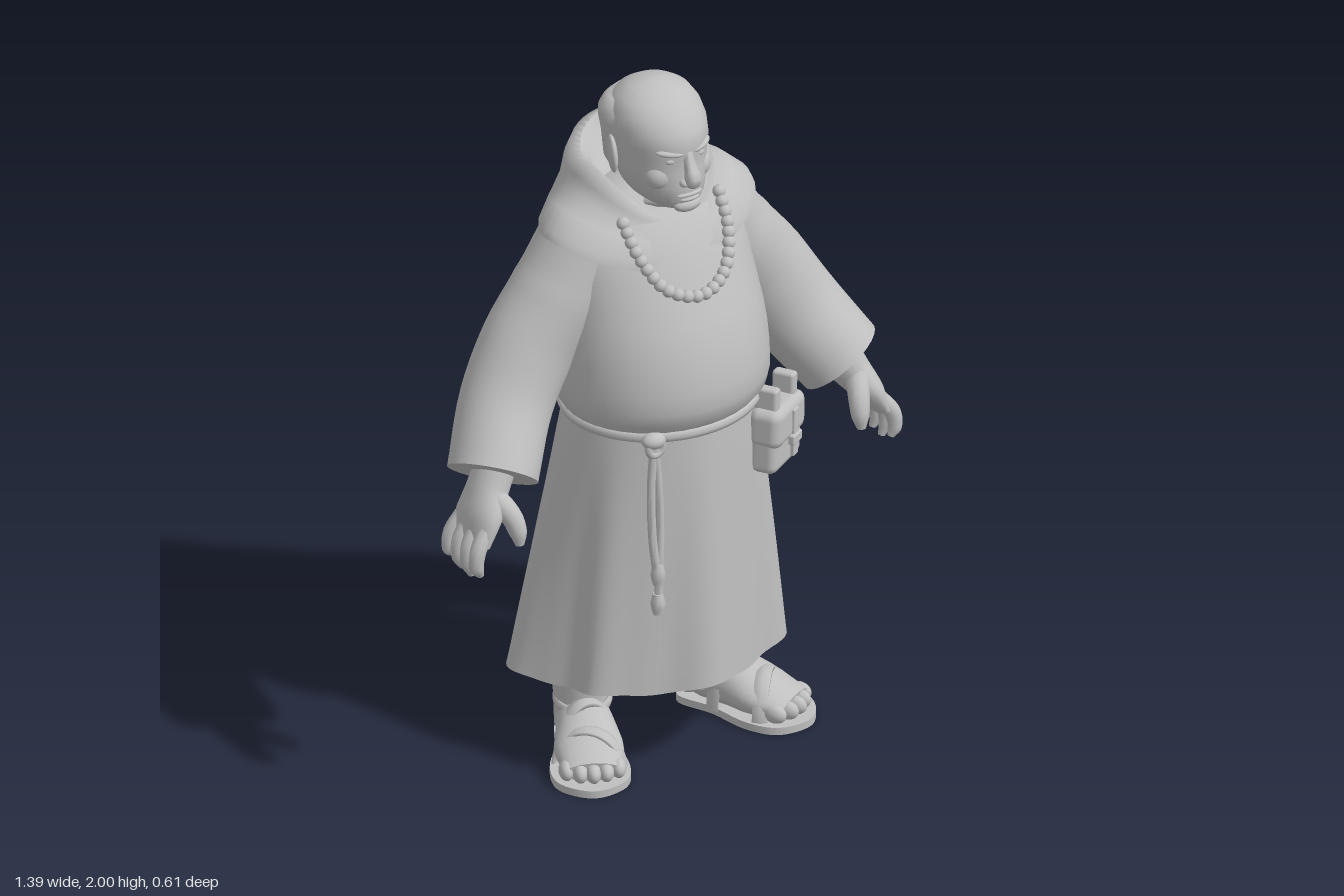
import * as THREE from 'three';
import { toCreasedNormals, mergeVertices } from 'three/addons/utils/BufferGeometryUtils.js';
import { RoundedBoxGeometry } from 'three/addons/geometries/RoundedBoxGeometry.js';

const V = (x, y, z) => new THREE.Vector3(x, y, z);
const grey = new THREE.MeshStandardMaterial({ color: 0xbfbfbf });
grey.name = 'clay grey';

// Skin a list of closed rings (each an array of points) and cap both ends
function loft(rings, crease = 0.9) {
  const n = rings[0].length, pos = [], idx = [];
  const centre = r => r.reduce((a, p) => a.add(p), V(0, 0, 0)).divideScalar(n);
  rings.forEach(r => r.forEach(p => pos.push(p.x, p.y, p.z)));
  for (let i = 0; i < rings.length - 1; i++) for (let j = 0; j < n; j++) {
    const a = i * n + j, b = i * n + (j + 1) % n;
    idx.push(a, b, b + n, a, b + n, a + n);
  }
  const last = rings.length - 1, c = rings.length * n;
  pos.push(...centre(rings[0]).toArray(), ...centre(rings[last]).toArray());
  for (let j = 0; j < n; j++) {
    const k = (j + 1) % n;
    idx.push(c, k, j, c + 1, last * n + j, last * n + k);
  }
  const g = new THREE.BufferGeometry();
  g.setAttribute('position', new THREE.Float32BufferAttribute(pos, 3));
  g.setIndex(idx);
  return toCreasedNormals(mergeVertices(g), crease);
}

// Ring of n points, each from f(angle); angle 0 is the front, PI/2 the left
const ring = (n, f) => Array.from({ length: n }, (_, j) => f(j / n * Math.PI * 2));

// Level ellipses from rows of [y, half width, front z, back z]
const stack = (rows, n = 40) => loft(rows.map(([y, rx, zf, zb]) =>
  ring(n, a => V(rx * Math.sin(a), y, (zf + zb) / 2 + (zf - zb) / 2 * Math.cos(a)))));

// Tapered limb along a curve; radii are [across, along ref]
function limb(points, radii, { n = 16, steps = 14, ref = V(0, 0, 1), crease = 0.9 } = {}) {
  const curve = new THREE.CatmullRomCurve3(points.map(p => V(...p)));
  const rings = [];
  for (let i = 0; i <= steps; i++) {
    const t = i / steps, f = t * (radii.length - 1), k = Math.min(Math.floor(f), radii.length - 2);
    const mix = q => THREE.MathUtils.lerp(radii[k][q], radii[k + 1][q], f - k);
    const c = curve.getPoint(t), T = curve.getTangent(t);
    const A = T.clone().cross(ref).normalize(), B = A.clone().cross(T);
    rings.push(ring(n, a => c.clone().addScaledVector(A, mix(0) * Math.sin(a)).addScaledVector(B, mix(1) * Math.cos(a))));
  }
  return loft(rings, crease);
}
const round = (...rs) => rs.map(r => [r, r]);

export function createModel() {
  const model = new THREE.Group();
  const add = (name, geo, pos = [0, 0, 0], scale = [1, 1, 1], parent = model) => {
    const m = new THREE.Mesh(geo, grey);
    m.name = name;
    m.position.set(...pos);
    m.scale.set(...scale);
    parent.add(m);
    return m;
  };
  const ball = new THREE.SphereGeometry(1, 20, 14);

  // Skirt with seven soft folds that grow toward the hem, fuller behind than in front
  const skirt = [];
  for (let i = 0; i <= 14; i++) {
    const t = 1 - i / 14, s = Math.pow(t, 0.85);
    skirt.push(ring(112, a => {
      const fold = Math.cos(7 * a), back = (1 - Math.cos(a)) / 2, diagonal = 2 * Math.cos(a) * Math.sin(a) ** 2;
      const k = 1 + s * ((0.045 + 0.03 * back) * fold + 0.012 * Math.cos(14 * a + 1) - 0.085 * diagonal);
      return V((0.265 + 0.125 * s) * k * Math.sin(a), 1.05 - 0.78 * t + (t === 1 ? 0.006 * fold : 0),
        0.022 * (1 - s) + (0.232 + (0.06 + 0.01 * back) * s) * k * Math.cos(a));
    }));
  }
  const hem = skirt[0].map(p => V(p.x * 0.97, 0.3, p.z * 0.97));
  add('skirt', loft([hem, ...skirt]));

  // Belly and chest
  add('torso', stack([
    [1.03, 0.262, 0.25, -0.205], [1.06, 0.277, 0.268, -0.22], [1.09, 0.295, 0.292, -0.24],
    [1.13, 0.302, 0.302, -0.25], [1.18, 0.302, 0.298, -0.25], [1.24, 0.3, 0.286, -0.245],
    [1.3, 0.295, 0.268, -0.238], [1.36, 0.288, 0.243, -0.23], [1.42, 0.282, 0.212, -0.222],
    [1.48, 0.28, 0.183, -0.22], [1.55, 0.27, 0.15, -0.22], [1.62, 0.23, 0.1, -0.2], [1.68, 0.12, 0.04, -0.13]]));

  // Cowl: rows of [half width, front z, back z, front y, side y, back y]
  const cowl = [
    [0.27, 0.11, -0.19, 1.515, 1.575, 1.51], [0.324, 0.16, -0.235, 1.5, 1.592, 1.485],
    [0.316, 0.156, -0.252, 1.53, 1.615, 1.515], [0.265, 0.128, -0.266, 1.57, 1.66, 1.58],
    [0.216, 0.108, -0.275, 1.592, 1.69, 1.66], [0.203, 0.102, -0.27, 1.608, 1.73, 1.74],
    [0.19, 0.095, -0.25, 1.622, 1.765, 1.795], [0.17, 0.085, -0.215, 1.625, 1.77, 1.812],
    [0.15, 0.07, -0.185, 1.615, 1.745, 1.79], [0.12, 0.04, -0.13, 1.59, 1.66, 1.66]];
  add('cowl', loft(cowl.map(([rx, zf, zb, yf, ys, yb]) => ring(48, a => {
    const c = Math.cos(a), y = ys + ((c > 0 ? yf : yb) - ys) * c * c;
    return V(rx * Math.sin(a), y, (zf + zb) / 2 + (zf - zb) / 2 * c);
  })), 1.1));

  // Head
  add('head', stack([
    [1.58, 0.095, 0.05, -0.11], [1.655, 0.085, 0.08, -0.11], [1.672, 0.062, 0.145, -0.11],
    [1.69, 0.08, 0.168, -0.112], [1.715, 0.098, 0.174, -0.115], [1.75, 0.112, 0.17, -0.12],
    [1.79, 0.12, 0.166, -0.126], [1.83, 0.121, 0.16, -0.132], [1.86, 0.126, 0.167, -0.138],
    [1.9, 0.128, 0.153, -0.141], [1.935, 0.12, 0.128, -0.131], [1.965, 0.1, 0.092, -0.108],
    [1.987, 0.066, 0.05, -0.073], [1.997, 0.03, 0.014, -0.035], [2, 0.008, -0.005, -0.015]]));
  // Fringe of hair around the sides and back
  const fringe = [[1.745, 0.108, 0.02], [1.77, 0.12, 0.03], [1.84, 0.128, 0.05], [1.89, 0.136, 0.055], [1.915, 0.135, 0.05], [1.935, 0.124, 0.035], [1.95, 0.108, 0.015]];
  add('hairFringe', stack(fringe.map(([y, rx, zf]) => [y, rx, zf, -0.014 - rx])));
  add('nose', limb([[0, 1.85, 0.152], [0, 1.81, 0.168], [0, 1.775, 0.182], [0, 1.755, 0.17]], round(0.014, 0.017, 0.025, 0.014), { steps: 8 }));
  add('mouth', ball, [0, 1.727, 0.163], [0.04, 0.007, 0.015]);
  add('lowerLip', ball, [0, 1.713, 0.162], [0.033, 0.008, 0.016]);
  add('chin', ball, [0, 1.69, 0.152], [0.042, 0.022, 0.026]);
  for (const s of [-1, 1]) {
    add('brow', ball, [s * 0.046, 1.853, 0.141], [0.042, 0.011, 0.02]).rotation.set(0, s * 0.35, s * 0.15);
    add('eye', ball, [s * 0.043, 1.828, 0.142], [0.018, 0.01, 0.01]);
    add('cheek', ball, [s * 0.05, 1.775, 0.105], [0.052, 0.045, 0.044]);
    add('nostril', ball, [s * 0.02, 1.765, 0.168], [0.013, 0.012, 0.014]);
    add('ear', ball, [s * 0.128, 1.805, -0.015], [0.013, 0.055, 0.032]).rotation.set(-0.15, s * 0.35, 0);
  }

  // Bead necklace
  const cord = new THREE.CatmullRomCurve3([-1, -0.93, -0.6, 0, 0.6, 0.93, 1].map((x, i) => {
    const k = Math.abs(i - 3);
    return V(x * 0.155, [1.438, 1.47, 1.56, 1.64][k], [0.222, 0.194, 0.136, 0.076][k]);
  }));
  const beads = new THREE.Group();
  beads.name = 'necklace';
  model.add(beads);
  cord.getSpacedPoints(23).forEach(p => add('bead', ball, p.toArray(), [0.018, 0.018, 0.018], beads));

  // Rope belt, knot and hanging ends
  const waist = new THREE.CatmullRomCurve3(ring(24, a => V(0.268 * Math.sin(a), 1.05, 0.022 + 0.24 * Math.cos(a))), true);
  add('ropeBelt', new THREE.TubeGeometry(waist, 72, 0.018, 8, true));
  add('ropeKnot', ball, [-0.16, 1.045, 0.23], [0.036, 0.024, 0.028]);
  add('ropeLoop', new THREE.TorusGeometry(0.022, 0.011, 8, 16), [-0.16, 1.025, 0.238]);
  [[-0.172, 0.62, 0.012], [-0.148, 0.53, 0.012]].forEach(([x, y, r]) => {
    add('ropeEnd', limb([[-0.16, 1.04, 0.232], [x, 0.9, 0.235], [x, 0.75, 0.242], [-0.16, y, 0.25]], round(r, r, r, r), { n: 10 }));
    add('ropeTassel', limb([[-0.16, y + 0.05, 0.249], [-0.16, y + 0.02, 0.25], [-0.16, y - 0.01, 0.252]], round(0.014, 0.021, 0.015), { n: 10, steps: 4 }));
  });

  // Belt pouch
  const pouch = new THREE.Group();
  pouch.name = 'pouch';
  pouch.position.set(0.26, 0.92, 0.19);
  pouch.rotation.set(0, 0.55, -0.05);
  model.add(pouch);
  const box = (name, w, h, d, x, y, z) => add(name, new RoundedBoxGeometry(w, h, d, 2, Math.min(w, h, d) * 0.3), [x, y, z], [1, 1, 1], pouch);
  box('pouchBody', 0.18, 0.18, 0.08, 0, -0.005, 0);
  box('pouchFlap', 0.19, 0.115, 0.095, 0, 0.04, 0.004);
  box('pouchStrap', 0.03, 0.14, 0.012, 0.01, 0.005, 0.052);
  box('pouchBuckle', 0.055, 0.03, 0.02, 0.01, -0.012, 0.054);
  for (const s of [-1, 1]) box('beltLoop', 0.034, 0.075, 0.065, s * 0.055, 0.118, 0);

  for (const s of [-1, 1]) {
    // Wide sleeve
    add('sleeve', limb([[s * 0.21, 1.535, -0.055], [s * 0.275, 1.41, -0.055], [s * 0.37, 1.28, -0.055], [s * 0.46, 1.14, -0.03], [s * 0.56, 0.985, 0.052]],
      [[0.11, 0.125], [0.132, 0.13], [0.137, 0.122], [0.132, 0.122], [0.124, 0.125]], { n: 28, steps: 20 }));
    // Hand
    add('palm', limb([[s * 0.55, 1.01, 0.05], [s * 0.583, 0.95, 0.06], [s * 0.62, 0.89, 0.075], [s * 0.65, 0.83, 0.078]],
      [[0.058, 0.058], [0.054, 0.064], [0.043, 0.085], [0.024, 0.084]], { n: 20 }));
    for (let k = 0; k < 4; k++) {
      const z = 0.143 - 0.043 * k, tip = [0.75, 0.733, 0.738, 0.76][k];
      add('finger', limb([[s * 0.635, 0.87, 0.13 - 0.037 * k], [s * 0.668, 0.825, z], [s * 0.676, 0.78, z + 0.003], [s * 0.662, tip, z + 0.003]],
        round(0.024, 0.023, 0.022, 0.02, 0.01), { n: 10, steps: 12 }));
    }
    add('thumb', limb([[s * 0.585, 0.94, 0.1], [s * 0.562, 0.9, 0.143], [s * 0.553, 0.855, 0.163], [s * 0.552, 0.82, 0.17]],
      round(0.034, 0.03, 0.025, 0.012), { n: 12, steps: 10 }));

    // Leg with a sandalled foot turned outward
    add('leg', limb([[s * 0.21, 0.42, -0.045], [s * 0.21, 0.24, -0.045], [s * 0.21, 0.15, -0.045], [s * 0.21, 0.06, -0.04]],
      round(0.085, 0.08, 0.074, 0.074), { n: 20 }));
    const foot = new THREE.Group();
    foot.name = 'foot';
    foot.position.set(s * 0.214, 0, -0.028);
    foot.rotation.y = s * 0.48;
    model.add(foot);
    const outline = new THREE.Shape(new THREE.SplineCurve([[0, -0.112], [0.066, -0.078], [0.076, 0.03], [0.107, 0.15], [0.09, 0.245], [0, 0.295],
      [-0.09, 0.245], [-0.107, 0.15], [-0.076, 0.03], [-0.066, -0.078], [0, -0.112]].map(p => new THREE.Vector2(...p))).getPoints(50));
    const sole = new THREE.ExtrudeGeometry(outline, { depth: 0.022, bevelEnabled: false });
    sole.rotateX(Math.PI / 2).translate(0, 0.022, 0);
    add('sandalSole', toCreasedNormals(sole, 0.7), [0, 0, 0], [1, 1, 1], foot);
    add('footBody', limb([[0, 0.065, -0.1], [0, 0.08, -0.04], [0, 0.084, 0.05], [0, 0.066, 0.14], [0, 0.05, 0.24]],
      [[0.035, 0.04], [0.068, 0.074], [0.079, 0.08], [0.096, 0.06], [0.078, 0.03]], { n: 24, ref: V(0, 1, 0), crease: 1.2 }), [0, 0, 0], [1, 1, 1], foot);
    for (let k = -2; k <= 2; k++) add('toe', ball, [k * 0.035, 0.048, 0.242 - 0.006 * k * k], [0.021, 0.027, 0.035], foot);
    // Straps over the foot and around the ankle
    [[0.15, 0.096, 0.112, 0.35], [0.06, 0.082, 0.148, -0.35]].forEach(([z, w, h, tilt]) => {
      const strap = add('sandalStrap', new THREE.TorusGeometry(1, 0.08, 6, 24, Math.PI), [0, 0.015, z], [w, h, 0.3], foot);
      strap.rotation.y = tilt * s;
    });
    const band = add('ankleStrap', new THREE.TorusGeometry(0.073, 0.008, 8, 28), [0, 0.14, -0.012], [1, 1, 2], foot);
    band.rotation.x = Math.PI / 2 + 0.15;
    add('heel', ball, [0, 0.06, -0.07], [0.058, 0.055, 0.036], foot);
  }
  return model;
}
